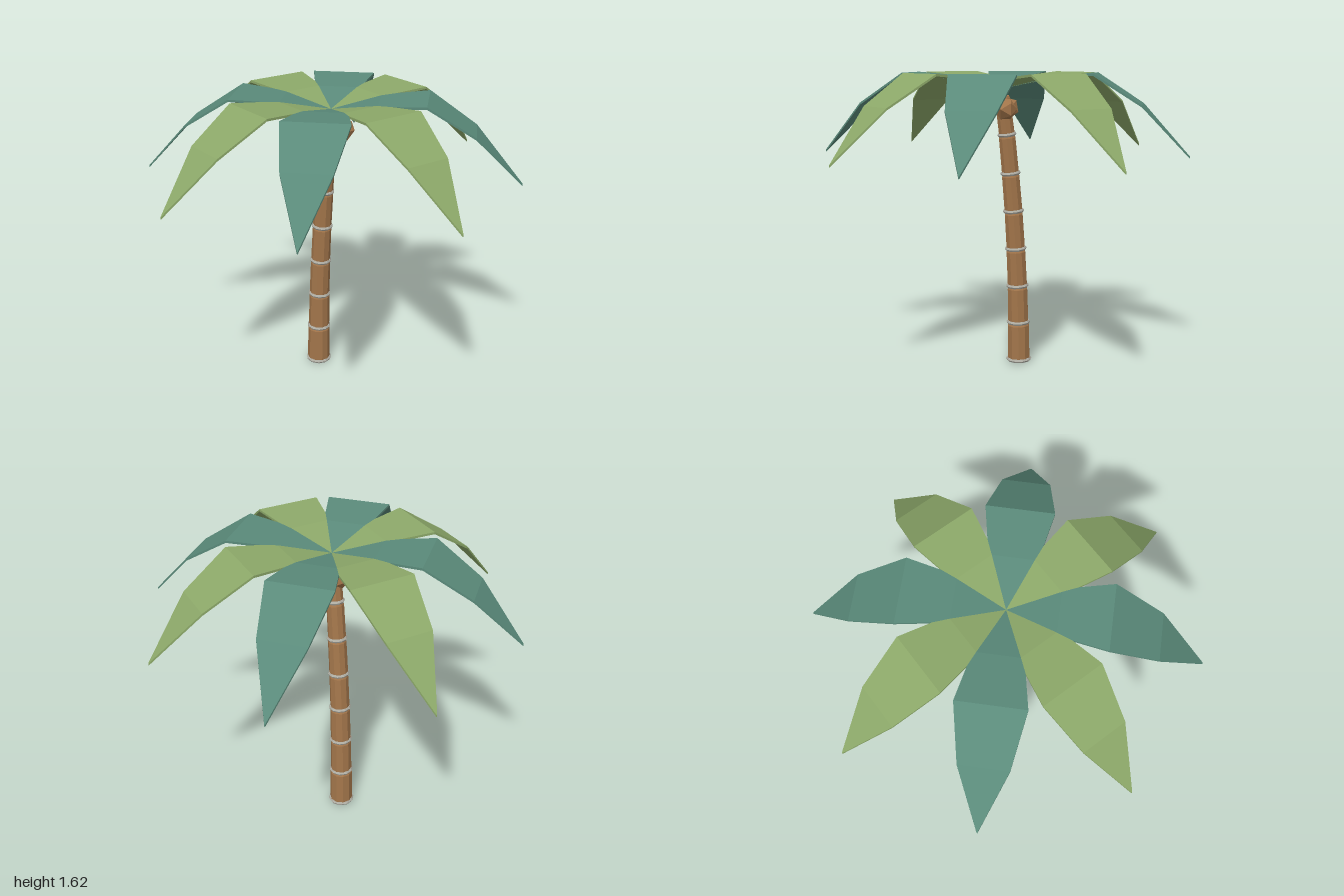
import * as THREE from 'three';

const flat = (name, color) =>
  new THREE.MeshStandardMaterial({ name, color, flatShading: true });

// One leaf along +x: a thin slab bent and tapered at five stations.
function leafGeometry() {
  const height = [1.546, 1.6, 1.62, 1.46, 1.19];
  const halfWidth = [0.003, 0.12, 0.17, 0.123, 0.002];
  const g = new THREE.BoxGeometry(1, 0.012, 2, 4, 1, 1);
  const p = g.attributes.position;
  for (let v = 0; v < p.count; v++) {
    const x = p.getX(v) + 0.5;
    const i = Math.round(x * 4);
    p.setXYZ(v, x, height[i] - 0.006 + p.getY(v), p.getZ(v) * halfWidth[i]);
  }
  g.computeVertexNormals();
  return g;
}

export function createModel() {
  const model = new THREE.Group();
  model.name = 'palmTree';
  const bark = flat('bark brown', 0xa3764b);
  const ringGrey = flat('ring grey', 0xb0aea4);
  const lightLeaf = flat('light green leaf', 0x8ca869);
  const tealLeaf = flat('teal leaf', 0x5a8a7a);

  // Leaning trunk: joints as [x, y, radius]
  const joints = [
    [-0.12, 0.012, 0.064], [-0.116, 0.23, 0.059], [-0.109, 0.442, 0.056],
    [-0.097, 0.655, 0.053], [-0.081, 0.868, 0.051], [-0.06, 1.078, 0.048],
    [-0.036, 1.29, 0.044], [-0.005, 1.5, 0.04],
  ];
  const up = new THREE.Vector3(0, 1, 0);
  for (let i = 0; i < joints.length - 1; i++) {
    const [x, y, r] = joints[i];
    const [nx, ny] = joints[i + 1];
    const dir = new THREE.Vector3(nx - x, ny - y, 0);
    const len = dir.length();
    const joint = new THREE.Group();
    joint.name = `trunkJoint${i + 1}`;
    joint.position.set(x, y, 0);
    joint.quaternion.setFromUnitVectors(up, dir.normalize());

    // Segment with a bevelled top
    const profile = [
      [0, -0.008], [r * 0.96, -0.008], [r, 0.012],
      [r * 0.97, len - 0.02], [r * 0.86, len - 0.006], [0, len - 0.004],
    ].map(([a, b]) => new THREE.Vector2(a, b));
    const segment = new THREE.Mesh(new THREE.LatheGeometry(profile, 10), bark);
    segment.name = 'trunkSegment';

    const ring = new THREE.Mesh(new THREE.TorusGeometry(r - 0.003, 0.011, 6, 10), ringGrey);
    ring.name = 'trunkRing';
    ring.rotation.x = Math.PI / 2;
    joint.add(segment, ring);
    model.add(joint);
  }

  // Faceted nuts under the crown
  const nutGeometry = new THREE.IcosahedronGeometry(0.062, 0);
  [[0.02, -0.068], [-0.052, 0.015], [0.065, 0.06]].forEach(([x, z], i) => {
    const nut = new THREE.Mesh(nutGeometry, bark);
    nut.name = `nut${i + 1}`;
    nut.position.set(x, 1.43, z);
    nut.rotation.set(0.3 * i, 0.9 * i, 0);
    model.add(nut);
  });

  // Crown of eight leaves in alternating colours
  const leaf = leafGeometry();
  for (let k = 0; k < 8; k++) {
    const frond = new THREE.Mesh(leaf, k % 2 ? tealLeaf : lightLeaf);
    frond.name = `leaf${k + 1}`;
    frond.rotation.y = (k * Math.PI) / 4;
    model.add(frond);
  }
  return model;
}
